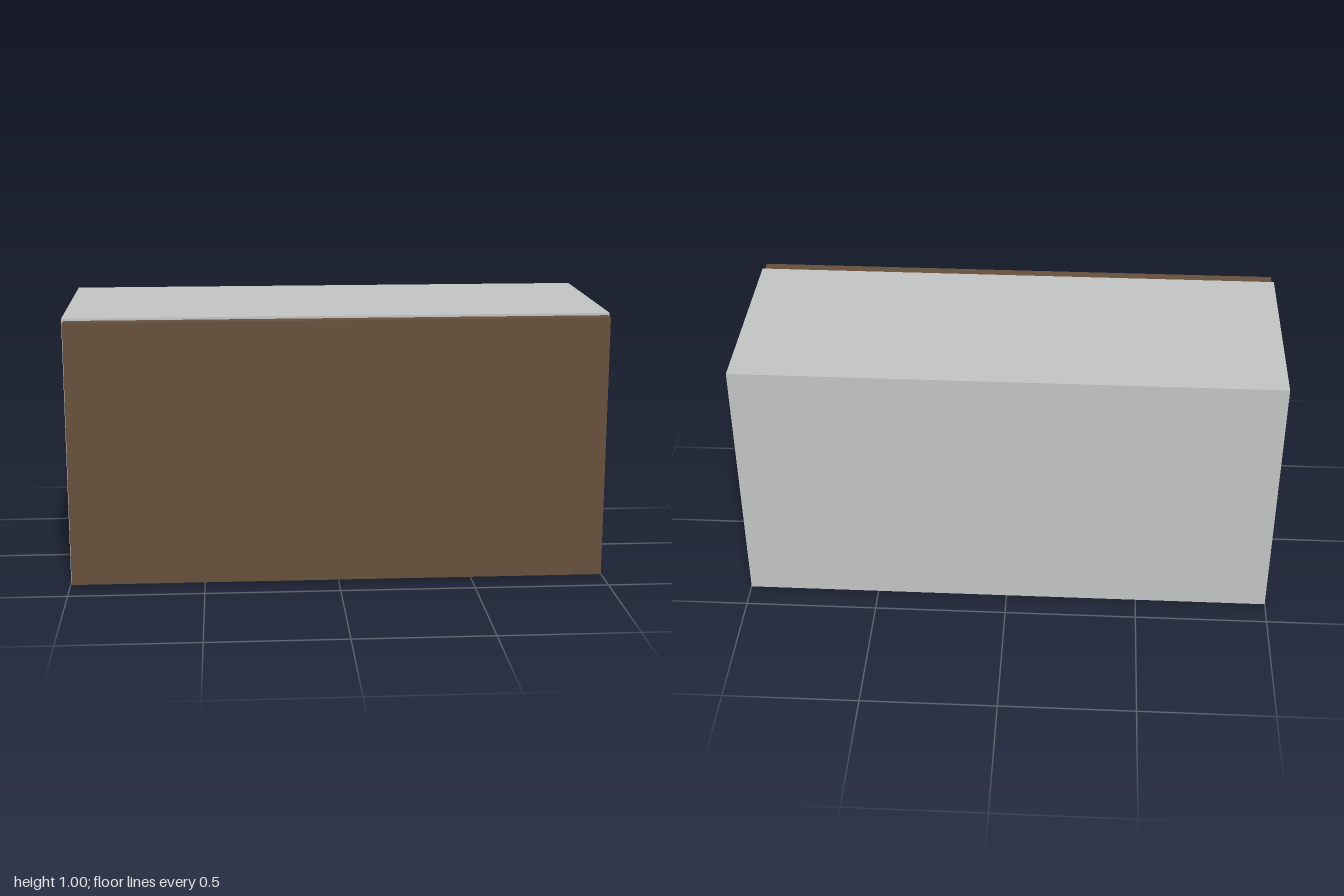
import * as THREE from 'three';

export function createModel() {
  const model = new THREE.Group();
  model.name = 'cabinet';

  const greyPanel = new THREE.MeshStandardMaterial({ color: 0xc6c8c7 });
  greyPanel.name = 'light grey panel';
  const brownFront = new THREE.MeshStandardMaterial({ color: 0x67513c });
  brownFront.name = 'brown front';

  // Adds a board spanning the given minimum and maximum corners
  function board(name, material, min, max) {
    const size = max.map((v, i) => v - min[i]);
    const mesh = new THREE.Mesh(new THREE.BoxGeometry(...size), material);
    mesh.position.set(...max.map((v, i) => (v + min[i]) / 2));
    mesh.name = name;
    model.add(mesh);
  }

  const t = 0.045; // board thickness
  const inner = 1 - t; // half width between the sides
  const back = -0.4;
  const front = 0.348;

  // Carcass: full-height sides with top, bottom and back fitted between them
  board('rightSide', greyPanel, [-1, 0, back], [-inner, 1, front]);
  board('leftSide', greyPanel, [inner, 0, back], [1, 1, front]);
  board('bottomPanel', greyPanel, [-inner, 0, back], [inner, t, front]);
  board('topPanel', greyPanel, [-inner, 1 - t, back], [inner, 1, front]);
  board('backPanel', greyPanel, [-inner, t, back], [inner, 1 - t, back + t]);

  // Front panel, slightly smaller than the carcass
  board('frontPanel', brownFront, [-0.993, 0.009, 0.35], [0.993, 0.992, 0.4]);

  return model;
}
